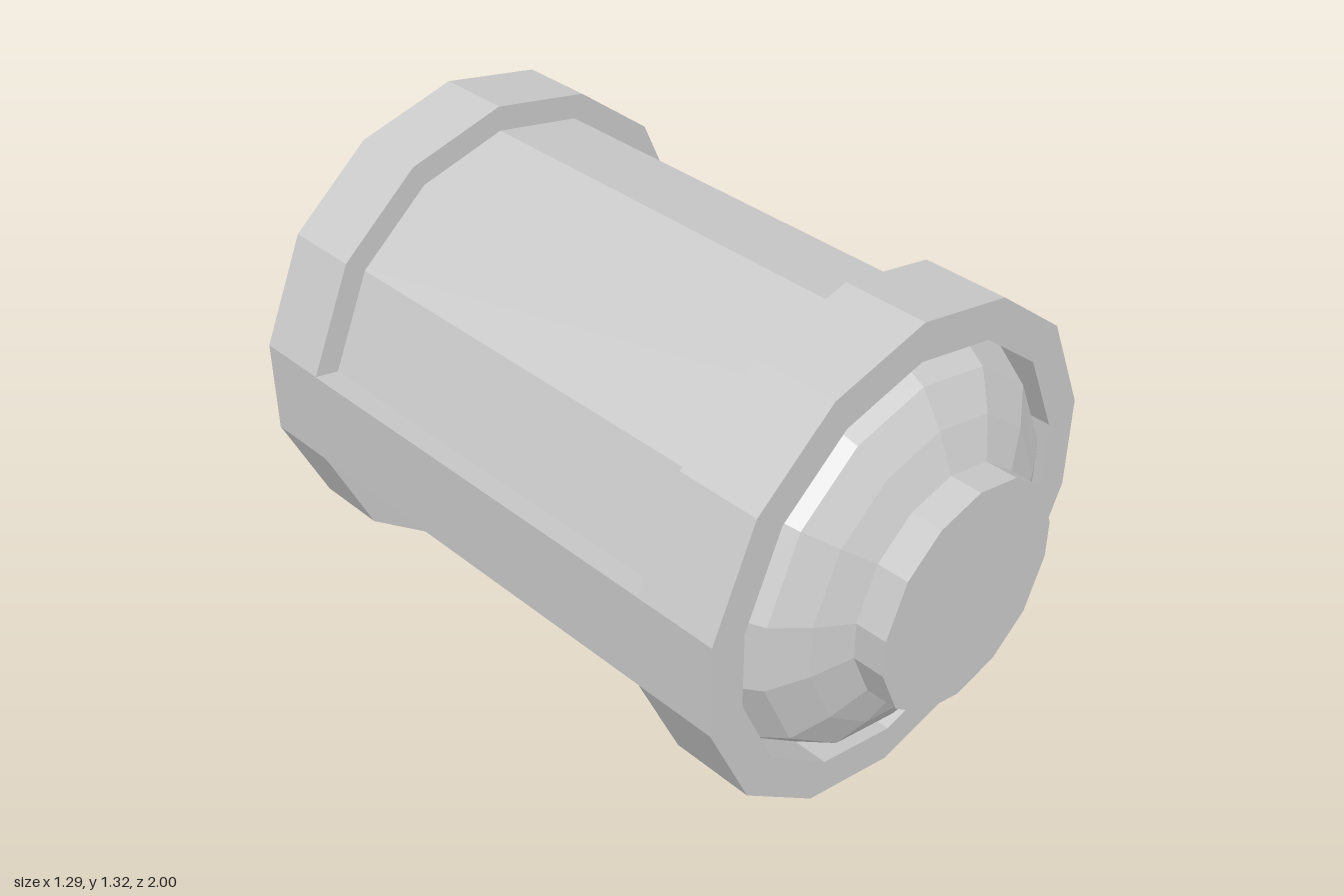
import * as THREE from 'three';

const SIDES = 14;
const CENTRE_Y = 0.662;
const FLAT = 0.016; // the two side facets are slightly narrower than the rest

const material = new THREE.MeshStandardMaterial({ color: 0xcccccc, flatShading: true });

// 14-sided turned shape along z; profile is [radius, z] with z rising
function turned(name, profile) {
  const geo = new THREE.LatheGeometry(profile.map(([r, z]) => new THREE.Vector2(r, z)), SIDES);
  geo.rotateX(Math.PI / 2);
  const p = geo.attributes.position;
  for (let i = 0; i < p.count; i++) {
    const x = p.getX(i), y = p.getY(i);
    if (Math.abs(x) > 0.1 && Math.abs(y) < 0.3 * Math.abs(x)) p.setY(i, y - Math.sign(y) * FLAT);
  }
  geo.computeVertexNormals();
  const mesh = new THREE.Mesh(geo, material);
  mesh.name = name;
  return mesh;
}

// open-centred ring between z0 and z1
function collar(name, radius, z0, z1) {
  const inner = 0.557;
  return turned(name, [[inner, z0], [radius, z0], [radius, z1], [inner, z1], [inner, z0]]);
}

export function createModel() {
  const model = new THREE.Group();
  const capsule = new THREE.Group();
  capsule.name = 'capsule';
  capsule.position.y = CENTRE_Y;
  model.add(capsule);

  // main barrel and the two collars
  capsule.add(turned('barrel', [[0.59, -0.62], [0.59, 0.62]]));
  capsule.add(collar('frontCollar', 0.661, 0.58, 0.807));
  capsule.add(collar('backCollar', 0.659, -0.797, -0.596));

  // domed end and round plug, at both ends
  for (const end of ['front', 'back']) {
    const group = new THREE.Group();
    group.name = end + 'End';
    group.add(turned('dome', [[0.557, 0.6], [0.557, 0.71], [0.497, 0.818], [0.405, 0.873], [0.304, 0.915]]));
    group.add(turned('plug', [[0.304, 0.9], [0.304, 1], [0, 1]]));
    if (end === 'back') group.rotation.y = Math.PI;
    capsule.add(group);
  }

  // side straps joining the collars
  const section = new THREE.Shape([
    new THREE.Vector2(0.56, -0.112), new THREE.Vector2(0.644, -0.131),
    new THREE.Vector2(0.644, 0.131), new THREE.Vector2(0.56, 0.112),
  ]);
  for (const side of [1, -1]) {
    const geo = new THREE.ExtrudeGeometry(section, { depth: 1.176, bevelEnabled: false });
    geo.translate(0, 0, -0.588);
    const strap = new THREE.Mesh(geo, material);
    strap.name = side > 0 ? 'leftStrap' : 'rightStrap';
    strap.rotation.y = side > 0 ? 0 : Math.PI;
    strap.position.z = -0.008;
    capsule.add(strap);
  }
  return model;
}
